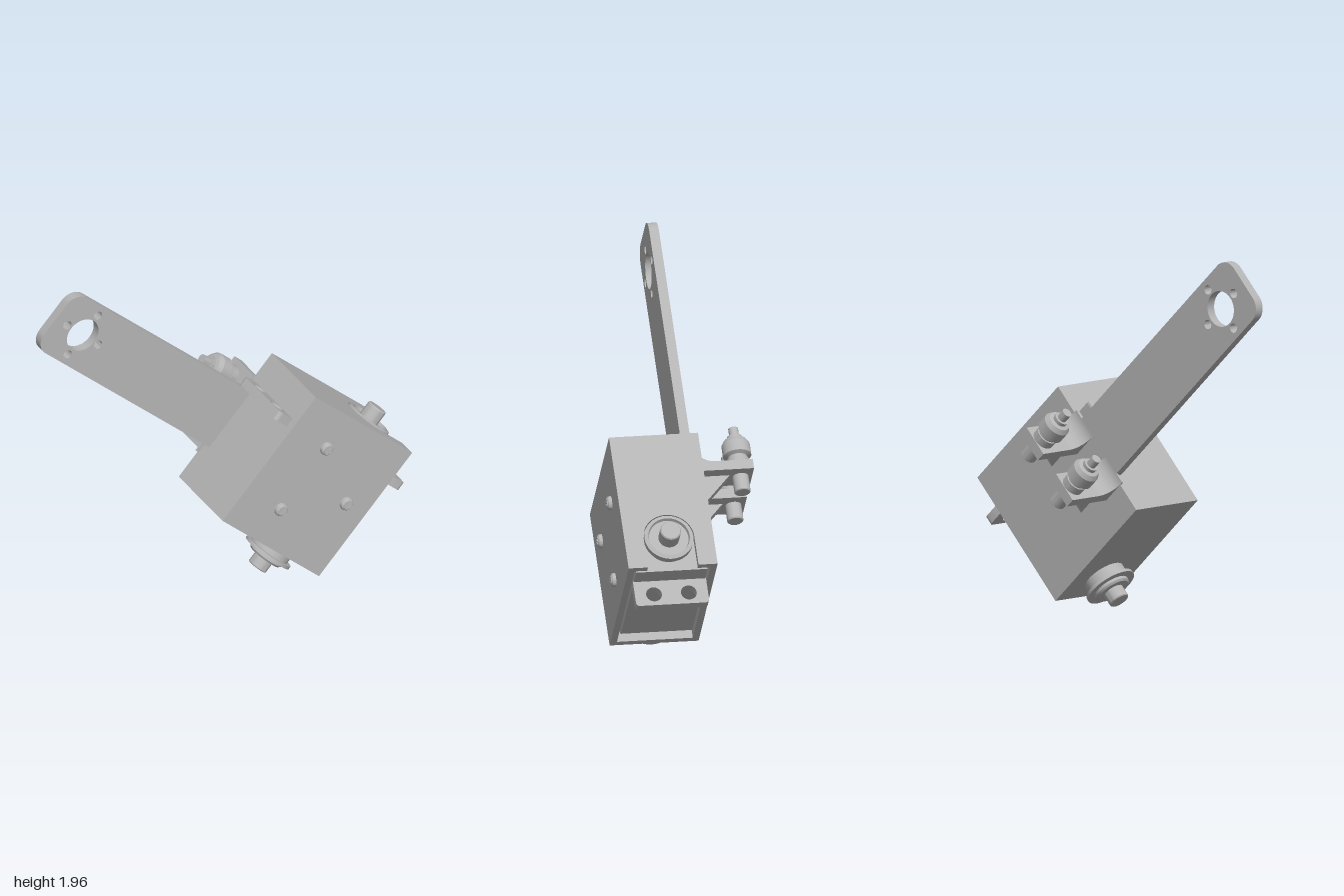
import * as THREE from 'three';
import { toCreasedNormals } from 'three/addons/utils/BufferGeometryUtils.js';

export function createModel() {
  const model = new THREE.Group();
  const grey = new THREE.MeshStandardMaterial({ color: 0xb4b4b4 });
  grey.name = 'grey';

  // everything is built square, then tilted as one piece
  const body = new THREE.Group();
  body.name = 'tiltedBody';
  body.position.set(0.427, 0.612, 0);
  body.rotation.z = -0.752;
  model.add(body);

  const add = (name, geo, parent = body) => {
    const m = new THREE.Mesh(geo, grey);
    m.name = name;
    parent.add(m);
    return m;
  };
  // box from its limits on each axis
  const block = (name, x0, x1, y0, y1, z0, z1) =>
    add(name, new THREE.BoxGeometry(x1 - x0, y1 - y0, z1 - z0))
      .position.set((x0 + x1) / 2, (y0 + y1) / 2, (z0 + z1) / 2);
  const lathe = (pts) => toCreasedNormals(
    new THREE.LatheGeometry(pts.map(p => new THREE.Vector2(...p)), 40), 0.5);
  const extrude = (shape, depth) => toCreasedNormals(
    new THREE.ExtrudeGeometry(shape, { depth, bevelEnabled: false, curveSegments: 20 }), 0.5);
  const hole = (shape, x, y, r) => {
    const p = new THREE.Path();
    p.absarc(x, y, r, 0, Math.PI * 2, true);
    shape.holes.push(p);
  };
  const roundRect = (x0, x1, y0, y1, r) => {
    const s = new THREE.Shape();
    s.absarc(x1 - r, y0 + r, r, -Math.PI / 2, 0);
    s.absarc(x1 - r, y1 - r, r, 0, Math.PI / 2);
    s.absarc(x0 + r, y1 - r, r, Math.PI / 2, Math.PI);
    s.absarc(x0 + r, y0 + r, r, Math.PI, Math.PI * 1.5);
    s.closePath();
    return s;
  };

  const X = 0.396, Y = 0.41, Z0 = -0.095, Z1 = 0.38, W = 0.035, ZC = 0.142, SX = 0.222;

  // housing, open at the +x end
  block('frontPlate', -X, X, -Y, Y, Z1 - W, Z1);
  block('backPlate', -X, X, -Y, Y, Z0, Z0 + W);
  block('innerEndWall', -X, -X + W, -Y, Y, Z0 + W, Z1 - W);
  block('lowerWall', -X + W, X, -Y, -Y + W, Z0 + W, Z1 - W);

  // upper wall with a U-shaped slot for the shaft
  const u = new THREE.Shape();
  u.moveTo(-X + W, Z0 + W);
  u.lineTo(X, Z0 + W);
  u.lineTo(X, ZC - 0.135);
  u.lineTo(SX, ZC - 0.135);
  u.absarc(SX, ZC, 0.135, -Math.PI / 2, Math.PI / 2, true);
  u.lineTo(X, ZC + 0.135);
  u.lineTo(X, Z1 - W);
  u.lineTo(-X + W, Z1 - W);
  u.closePath();
  const upper = add('upperWall', extrude(u, W));
  upper.rotation.x = Math.PI / 2;
  upper.position.y = Y;

  // arm with a large hole and four small ones
  const arm = new THREE.Shape();
  const end = -1.832, half = 0.183, r = 0.085;
  arm.moveTo(-X, -half);
  arm.lineTo(-X, half);
  arm.absarc(end + r, half - r, r, Math.PI / 2, Math.PI);
  arm.absarc(end + r, -half + r, r, Math.PI, Math.PI * 1.5);
  arm.closePath();
  hole(arm, -1.609, 0, 0.095);
  for (let i = 0; i < 4; i++) {
    const a = i * Math.PI / 2 - 0.03;
    hole(arm, -1.609 + 0.13 * Math.cos(a), 0.13 * Math.sin(a), 0.025);
  }
  add('arm', extrude(arm, 0.052)).position.z = Z0;

  // motor body and its mounting tabs
  block('motorBody', -0.35, 0.385, -0.31, 0.34, -0.05, 0.33);
  block('motorBase', -0.35, 0.37, -0.335, -0.31, -0.05, 0.33);
  for (const [x0, x1, hx] of [[0.37, 0.53, 0.465], [-0.49, -0.34, -0.445]]) {
    const s = roundRect(x0, x1, -0.055, 0.335, 0.02);
    for (const d of [-0.093, 0.093]) hole(s, hx, 0.14 + d, 0.042);
    const tab = add('mountingTab', extrude(s, 0.05));
    tab.rotation.x = Math.PI / 2;
    tab.position.y = 0.24;
  }

  // drive shaft with bearings at both sides
  add('upperBearing', lathe([[0, 0.3], [0.11, 0.3], [0.11, 0.38], [0.13, 0.38], [0.13, 0.41],
    [0.11, 0.418], [0.105, 0.4], [0.06, 0.4], [0.055, 0.4], [0.055, 0.48], [0.05, 0.487], [0, 0.487]]))
    .position.set(SX, 0, ZC);
  add('lowerBearing', lathe([[0, -0.575], [0.05, -0.575], [0.055, -0.57], [0.055, -0.51],
    [0.09, -0.51], [0.1, -0.5], [0.1, -0.485], [0.14, -0.485], [0.14, -0.468],
    [0.115, -0.468], [0.115, -0.39], [0, -0.39]]))
    .position.set(SX, 0, ZC);

  // cross-head screws on the front
  const cross = new THREE.Path();
  const a = 0.005, b = 0.017;
  [[a, b], [a, a], [b, a], [b, -a], [a, -a], [a, -b], [-a, -b], [-a, -a], [-b, -a], [-b, a], [-a, a], [-a, b]]
    .forEach(([x, y], i) => (i ? cross.lineTo(x, y) : cross.moveTo(x, y)));
  cross.closePath();
  const cap = new THREE.Shape();
  cap.absarc(0, 0, 0.026, 0, Math.PI * 2);
  cap.holes.push(cross);
  for (const [wx, wy] of [[0.48, 0.84], [0.205, 0.545], [0.598, 0.453]]) {
    const screw = new THREE.Group();
    screw.name = 'screw';
    screw.position.set(wx - 0.427, wy - 0.612, 0).applyAxisAngle(new THREE.Vector3(0, 0, 1), 0.752);
    screw.position.z = Z1;
    body.add(screw);
    add('screwHead', lathe([[0.037, -0.005], [0.037, 0.01], [0.034, 0.018], [0.026, 0.024], [0.026, 0.012], [0, 0.012]]), screw)
      .rotation.x = Math.PI / 2;
    add('screwCap', extrude(cap, 0.015), screw).position.z = 0.011;
  }

  // two rear brackets, each with a flared foot, a gusset and a pin
  const H = 0.398, back = 0.095, c0 = -0.315, c1 = -0.26;
  const post = new THREE.Shape();
  post.moveTo(c1, back - 0.01);
  post.lineTo(c1, H);
  post.lineTo(c0, H);
  post.lineTo(c0, back + 0.1);
  post.absarc(c0 - 0.1, back + 0.1, 0.1, 0, -Math.PI / 2, true);
  post.lineTo(c0 - 0.1, back - 0.01);
  post.closePath();
  const rib = new THREE.Shape();
  rib.moveTo(c1, back - 0.01);
  rib.lineTo(-0.07, back - 0.01);
  rib.lineTo(-0.07, back);
  rib.lineTo(c1, 0.275);
  rib.closePath();
  const pin = lathe([[0, 0.165], [0.038, 0.165], [0.043, 0.17], [0.043, 0.25], [0.043, 0.315],
    [0.06, 0.315], [0.06, 0.36], [0.052, 0.36], [0.052, 0.375], [0.075, 0.385], [0.075, 0.45],
    [0.06, 0.475], [0.04, 0.48], [0.04, 0.5], [0.026, 0.5], [0.026, 0.55], [0, 0.55]]);
  for (const y of [-0.155, 0.152]) {
    const bracket = new THREE.Group();
    bracket.name = 'rearBracket';
    bracket.position.y = y;
    body.add(bracket);
    const p = add('bracketPost', extrude(post, 0.175), bracket);
    p.rotation.x = -Math.PI / 2;
    p.position.y = -0.0875;
    const g = add('bracketGusset', extrude(rib, 0.05), bracket);
    g.rotation.x = -Math.PI / 2;
    g.position.y = -0.025;
    const q = add('bracketPin', pin, bracket);
    q.rotation.z = Math.PI / 2;
    q.position.z = -0.335;
  }
  return model;
}
